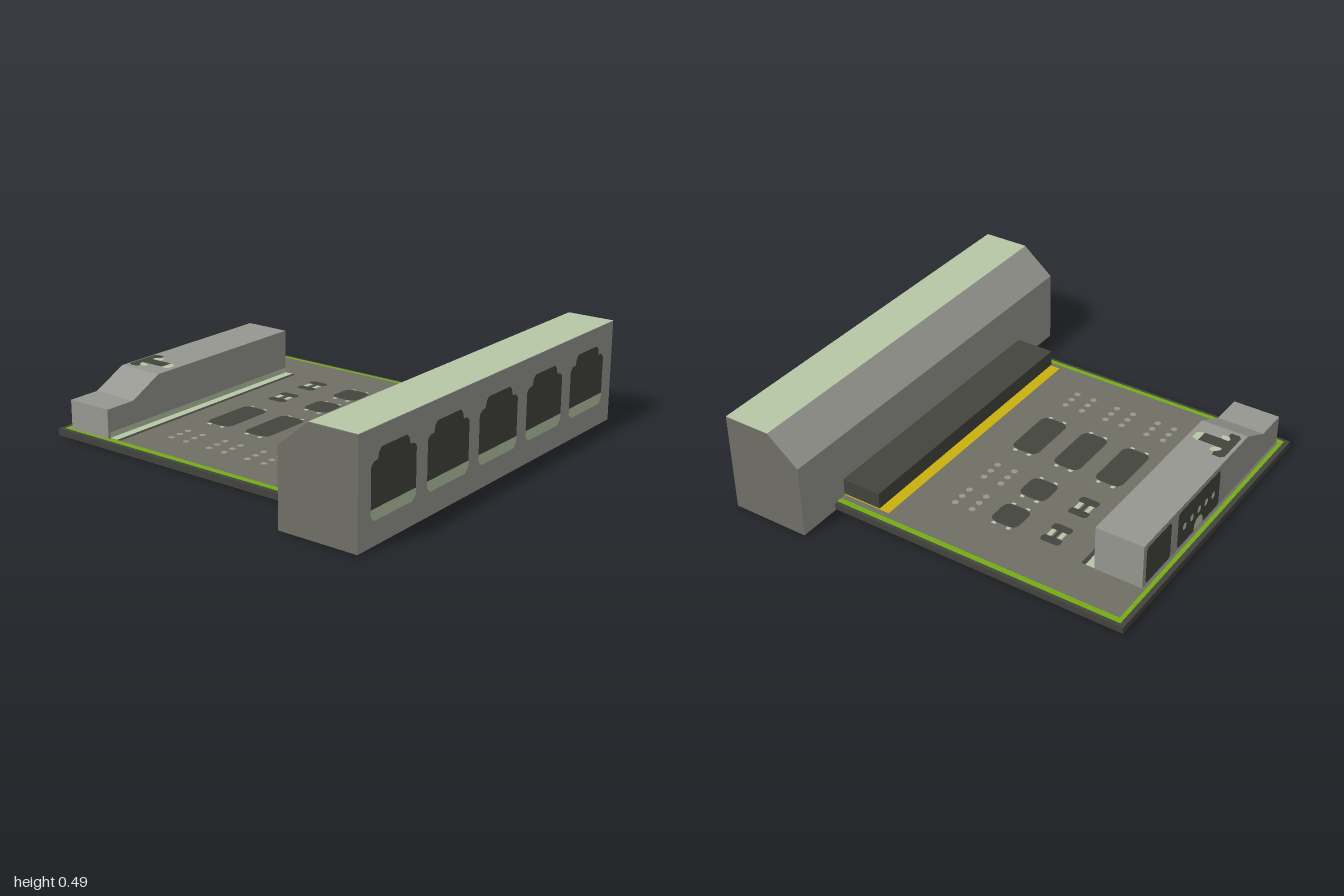
import * as THREE from 'three';

const mat = (name, color) => {
  const m = new THREE.MeshStandardMaterial({ color });
  m.name = name;
  return m;
};

export function createModel() {
  const grey = mat('grey', 0x969790);
  const darkGrey = mat('dark grey', 0x706f66);
  const dark = mat('charcoal', 0x43443d);
  const pale = mat('pale green', 0xb8c7a7);
  const green = mat('board green', 0x74ab13);
  const gold = mat('gold', 0xcab00e);
  const model = new THREE.Group();
  model.name = 'circuitBoard';

  const add = (name, geo, material, parent = model) => {
    const mesh = new THREE.Mesh(geo, material);
    mesh.name = name;
    parent.add(mesh);
    return mesh;
  };
  // Box given by its limits
  const box = (name, x0, x1, y0, y1, z0, z1, material) => {
    const g = new THREE.BoxGeometry(x1 - x0, y1 - y0, z1 - z0);
    g.translate((x0 + x1) / 2, (y0 + y1) / 2, (z0 + z1) / 2);
    return add(name, g, material);
  };
  const shapeOf = pts => new THREE.Shape(pts.map(p => new THREE.Vector2(...p)));
  // Painted faces: on top (x, z points), on the front or on the back (x, y points)
  const topFace = (name, pts, y, material) => {
    const g = new THREE.ShapeGeometry(shapeOf(pts.map(([x, z]) => [x, -z])));
    return add(name, g.rotateX(-Math.PI / 2).translate(0, y, 0), material);
  };
  const frontFace = (name, pts, z, material) =>
    add(name, new THREE.ShapeGeometry(shapeOf(pts)).translate(0, 0, z), material);
  const backFace = (name, pts, z, material) => {
    const g = new THREE.ShapeGeometry(shapeOf(pts.map(([x, y]) => [-x, y])));
    return add(name, g.rotateY(Math.PI).translate(0, 0, z), material);
  };
  const rect = (x0, x1, y0, y1) => [[x0, y0], [x1, y0], [x1, y1], [x0, y1]];
  // Rectangle with cut corners around a centre
  const chamfered = (cx, cy, w, h, c) => {
    const a = w / 2, b = h / 2;
    return [[-a + c, -b], [a - c, -b], [a - c / 3, -b + c / 3], [a, -b + c], [a, b - c], [a - c / 3, b - c / 3],
      [a - c, b], [-a + c, b], [-a + c / 3, b - c / 3], [-a, b - c], [-a, -b + c], [-a + c / 3, -b + c / 3]]
      .map(([x, y]) => [cx + x, cy + y]);
  };

  // Board with its painted border and centre
  const T = 0.038;
  box('board', -0.77, 0.784, 0.006, T, -0.945, 0.555, dark);
  topFace('greenBorder', rect(-0.752, 0.768, -0.922, 0.555), T + 0.002, green);
  topFace('boardCentre', rect(-0.725, 0.742, -0.903, 0.555), T + 0.004, darkGrey);
  const P = T + 0.006;

  // Socket housing with a sloped rear edge
  const profile = shapeOf([[0.555, 0], [0.945, 0], [0.945, 0.488], [0.71, 0.488], [0.555, 0.36]]);
  const housing = new THREE.ExtrudeGeometry(profile, { depth: 2, bevelEnabled: false });
  add('socketHousing', housing.rotateY(-Math.PI / 2).translate(1, 0, 0), [darkGrey, grey]);
  topFace('housingTop', rect(-1, 1, 0.71, 0.945), 0.49, pale);
  const base = new THREE.PlaneGeometry(2, 0.39).rotateX(Math.PI / 2).translate(0, -0.002, 0.75);
  add('housingBase', base, darkGrey);

  // Five front sockets
  for (let i = -2; i <= 2; i++) {
    const at = pts => pts.map(([x, y]) => [i * 0.382 - 0.004 + x, y]);
    frontFace('socketOpening', at([[-0.152, 0.158], [0.152, 0.158], [0.152, 0.335], [0.135, 0.352], [0.108, 0.355],
      [0.1, 0.385], [0.085, 0.4], [-0.085, 0.4], [-0.1, 0.385], [-0.108, 0.355], [-0.135, 0.352], [-0.152, 0.335]]),
    0.948, dark);
    frontFace('socketLip', at([[-0.152, 0.158], [-0.152, 0.13], [-0.13, 0.107], [0.13, 0.107], [0.152, 0.13],
      [0.152, 0.158]]), 0.948, pale);
  }

  // Edge connector bar and gold contacts
  box('connectorBar', -0.7, 0.715, 0.05, 0.13, 0.355, 0.555, dark);
  topFace('goldContacts', rect(-0.7, 0.715, 0.305, 0.555), P, gold);

  // Rear port block, stepped down at one end
  const block = new THREE.ExtrudeGeometry(shapeOf([[-0.735, 0.04], [0.535, 0.04], [0.535, 0.265], [-0.4, 0.265],
    [-0.57, 0.18], [-0.735, 0.18]]), { depth: 0.235, bevelEnabled: false });
  add('portBlock', block.translate(0, 0, -0.89), grey);
  topFace('blockTrim', rect(-0.725, 0.535, -0.655, -0.61), P, pale);
  topFace('trimShadowLine', rect(-0.725, 0.535, -0.61, -0.59), P, dark);
  frontFace('blockTrimFace', rect(-0.725, 0.535, 0.042, 0.07), -0.652, pale);

  // Rear ports
  backFace('rearPort', chamfered(0.41, 0.15, 0.21, 0.19, 0.015), -0.893, dark);
  backFace('rearPortWide', chamfered(0.055, 0.15, 0.38, 0.19, 0.015), -0.893, dark);
  for (let i = -2; i <= 2; i++)
    backFace('portPin', chamfered(0.06 + i * 0.065, 0.155 - Math.abs(i) * 0.004, 0.028, 0.035, 0.01), -0.896, pale);
  backFace('portKey', [[0.02, 0.06], [0.1, 0.06], [0.1, 0.09], [0.08, 0.115], [0.04, 0.115], [0.02, 0.09]], -0.896, pale);

  // T-shaped mark on top of the port block
  topFace('slotPale', [[-0.355, -0.84], [-0.205, -0.84], [-0.215, -0.79], [-0.235, -0.79], [-0.25, -0.815],
    [-0.25, -0.7], [-0.262, -0.68], [-0.302, -0.68], [-0.315, -0.7], [-0.315, -0.815], [-0.33, -0.79], [-0.345, -0.79]],
  0.267, pale);
  topFace('slotDark', [[-0.36, -0.875], [-0.2, -0.875], [-0.184, -0.86], [-0.184, -0.82], [-0.21, -0.815],
    [-0.235, -0.838], [-0.25, -0.835], [-0.25, -0.715], [-0.315, -0.715], [-0.315, -0.835], [-0.33, -0.838],
    [-0.355, -0.815], [-0.376, -0.82], [-0.376, -0.86]], 0.269, dark);

  // Chips with pins at both ends
  const chip = (x, z, w) => {
    for (const s of [-0.038, 0.038])
      topFace('chipPins', rect(x - w / 2 - 0.015, x + w / 2 + 0.015, z + s - 0.01, z + s + 0.01), P, pale);
    topFace('chip', chamfered(x, z, w, 0.14, 0.03), P + 0.002, dark);
  };
  for (const z of [-0.39, -0.163, 0.066]) chip(-0.15, z, 0.295);
  for (const x of [0.205, 0.432]) {
    chip(x, -0.16, 0.145);
    // Small split component
    for (const s of [-1, 1]) {
      topFace('componentSide', chamfered(x + s * 0.045, -0.4, 0.045, 0.1, 0.015), P + 0.002, dark);
      topFace('componentBar', rect(x - 0.025, x + 0.025, -0.4 + s * 0.027 - 0.011, -0.4 + s * 0.027 + 0.011), P + 0.002, pale);
    }
    topFace('componentCore', rect(x - 0.025, x + 0.025, -0.408, -0.392), P, dark);
  }

  // Solder points
  const dot = (x, z) => {
    const g = new THREE.CircleGeometry(0.016, 8).rotateX(-Math.PI / 2).translate(x, P, z);
    add('solderPoint', g, grey);
  };
  for (const x of [-0.55, -0.495, -0.44])
    for (const z of [-0.44, -0.35, -0.213, -0.122, 0.012, 0.105]) dot(x, z);
  for (const c of [0.205, 0.432])
    for (const dx of [-0.055, 0, 0.055])
      for (const z of [0.012, 0.105]) dot(c + dx, z);

  return model;
}
